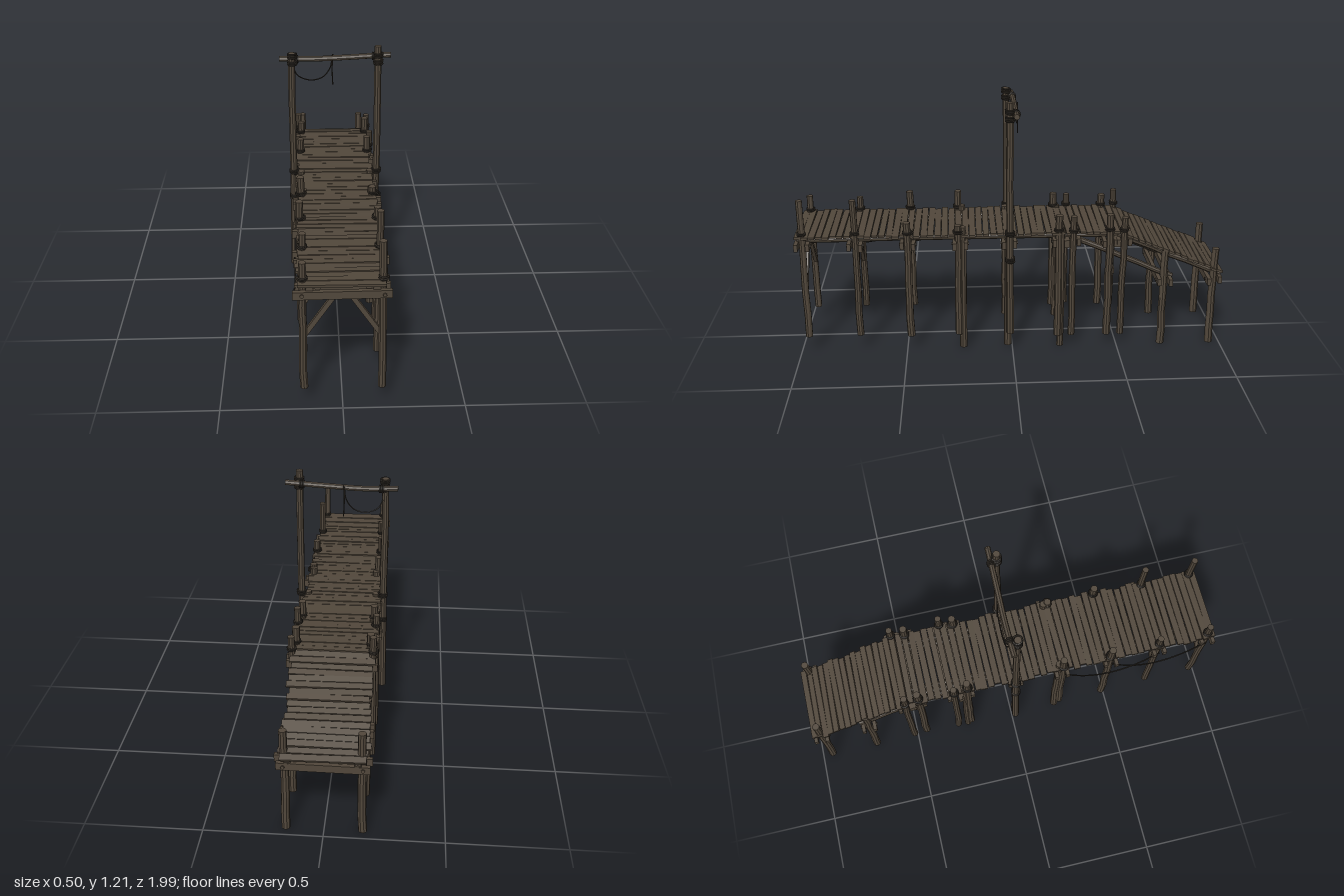
import * as THREE from 'three';

const mat = (name, color, flatShading = true) => {
  const m = new THREE.MeshStandardMaterial({ color, flatShading });
  m.name = name;
  return m;
};

export function createModel() {
  const root = new THREE.Group();
  root.name = 'pier';
  const wood = mat('weathered wood', 0x51473b);
  const rope = mat('dark rope', 0x302b25, false);

  // Seeded variation for hand-cut timber
  let seed = 7;
  const rnd = (s = 1) => {
    seed = (seed * 16807) % 2147483647;
    return (seed / 2147483647 * 2 - 1) * s;
  };
  const V = (x, y, z) => new THREE.Vector3(x, y, z);
  const group = (name) => {
    const g = new THREE.Group();
    g.name = name;
    root.add(g);
    return g;
  };
  const add = (parent, name, geo, m = wood) => {
    const mesh = new THREE.Mesh(geo, m);
    mesh.name = name;
    parent.add(mesh);
    return mesh;
  };

  // Round log between two points, with gently wandering rings
  const log = (parent, name, a, b, r, wobble = 0.0025) => {
    const len = a.distanceTo(b), segs = 6;
    const geo = new THREE.CylinderGeometry(r * 0.94, r * 1.04, len, 9, segs);
    const drift = Array.from({ length: segs + 1 }, () => [rnd(wobble), rnd(wobble)]);
    const p = geo.attributes.position;
    for (let i = 0; i < p.count; i++) {
      const ring = Math.round((p.getY(i) / len + 0.5) * segs);
      p.setX(i, p.getX(i) + drift[ring][0]);
      p.setZ(i, p.getZ(i) + drift[ring][1]);
    }
    geo.computeVertexNormals();
    const mesh = add(parent, name, geo);
    mesh.position.copy(a).lerp(b, 0.5);
    mesh.quaternion.setFromUnitVectors(V(0, 1, 0), b.clone().sub(a).normalize());
    return mesh;
  };

  // Squared beam between two points
  const beam = (parent, name, a, b, w, d) => {
    const mesh = add(parent, name, new THREE.BoxGeometry(w, a.distanceTo(b), d));
    mesh.position.copy(a).lerp(b, 0.5);
    mesh.quaternion.setFromUnitVectors(V(0, 1, 0), b.clone().sub(a).normalize());
    return mesh;
  };

  // Rope coils around an upright post
  const lashing = (parent, x, y, z, r, turns = 3) => {
    for (let i = 0; i < turns; i++) {
      const t = add(parent, 'lashing', new THREE.TorusGeometry(r, 0.004, 5, 14), rope);
      t.position.set(x, y + i * 0.008, z);
      t.rotation.set(Math.PI / 2 + rnd(0.12), rnd(0.12), 0);
    }
  };
  const cord = (parent, name, pts, r = 0.003) =>
    add(parent, name, new THREE.TubeGeometry(new THREE.CatmullRomCurve3(pts), 28, r, 5), rope);

  // Planks laid along a line in the yz plane
  const planking = (parent, z0, y0, z1, y1, pitch) => {
    const run = Math.hypot(z1 - z0, y1 - y0);
    const n = Math.round(run / pitch);
    const tilt = Math.atan2(y1 - y0, z0 - z1);
    for (let i = 0; i < n; i++) {
      const t = (i + 0.5) / n;
      const geo = new THREE.BoxGeometry(0.355 + rnd(0.012), 0.011, run / n - 0.003 + rnd(0.002));
      const p = add(parent, 'plank', geo);
      p.position.set(-0.003 + rnd(0.006), y0 + (y1 - y0) * t + rnd(0.002), z0 + (z1 - z0) * t);
      p.rotation.set(tilt + rnd(0.03), rnd(0.012), rnd(0.008));
    }
  };

  // Deck and ramp boards
  planking(group('deck'), 0.995, 0.583, -0.5, 0.583, 0.032);
  planking(group('ramp'), -0.5, 0.58, -0.99, 0.372, 0.032);

  // Lengthwise stringers under the deck and the ramps
  const stringers = group('stringers');
  for (const s of [-1, 1]) {
    log(stringers, 'deckStringer', V(s * 0.13, 0.563, 0.985), V(s * 0.13, 0.563, -0.5), 0.015);
    log(stringers, 'innerStringer', V(s * 0.1, 0.563, 0.97), V(s * 0.1, 0.563, -0.48), 0.013);
    log(stringers, 'rampStringer', V(s * 0.14, 0.565, -0.49), V(s * 0.14, 0.352, -0.985), 0.015);
    log(stringers, 'lowerRampStringer', V(s * 0.14, 0.56, -0.27), V(s * 0.14, 0.345, -0.755), 0.014);
  }

  // Pile rows: z, x offset, left top, right top, bottom, radius
  const rows = [
    [0.96, 0.158, 0.76, 0.67, 0.08, 0.016],
    [0.72, 0.158, 0.76, 0.66, 0.08, 0.016],
    [0.48, 0.165, 0.65, 0.68, 0.075, 0.018],
    [0.25, 0.165, 0.63, 0.68, 0.08, 0.018],
    [0.23, 0.157, 0.62, 0.61, 0.005, 0.018],
    [0.02, 0.16, 0.6, 0.6, 0.015, 0.018],
    [-0.215, 0.165, 0.67, 0.66, 0.06, 0.018],
    [-0.23, 0.157, 0.6, 0.6, 0, 0.016],
    [-0.28, 0.175, 0.67, 0.65, 0.065, 0.016],
    [-0.45, 0.165, 0.67, 0.65, 0.06, 0.018],
    [-0.515, 0.175, 0.66, 0.67, 0.065, 0.016],
    [-0.715, 0.158, 0.49, 0.49, 0, 0.018],
    [-0.95, 0.158, 0.49, 0.49, 0, 0.018],
  ];
  const piles = group('piles');
  for (const [z, x, topL, topR, bottom, r] of rows) {
    for (const s of [-1, 1]) {
      const top = s > 0 ? topL : topR;
      log(piles, 'pile', V(s * x, bottom, z), V(s * (x + rnd(0.004)), top, z), r);
      if (top > 0.62) lashing(piles, s * x, 0.597, z, r + 0.002, 2);
    }
  }

  // Paired cross beams clamping each pile row, with bolts
  const cross = group('crossBeams');
  const bolt = new THREE.CylinderGeometry(0.008, 0.008, 0.008, 8).rotateX(Math.PI / 2);
  const crossBeam = (y, z, side) => {
    const tip = rnd(0.004);
    beam(cross, 'crossBeam', V(-0.195 + rnd(0.008), y - tip, z), V(0.195 + rnd(0.008), y + tip, z), 0.034, 0.018);
    for (const s of [-1, 1]) add(cross, 'bolt', bolt).position.set(s * 0.16, y, z + side * 0.01);
  };
  for (const z of [0.96, 0.72, 0.48, 0.24, 0.015, -0.22, -0.28, -0.45, -0.515]) {
    for (const side of [-1, 1]) crossBeam(0.54, z + side * 0.026, side);
  }
  for (const z of [-0.715, -0.95]) {
    for (const side of [-1, 1]) crossBeam(0.335, z + side * 0.027, side);
  }

  // Diagonal knee braces
  const braces = group('braces');
  for (const z of [0.955, 0.72, -0.22]) {
    for (const s of [-1, 1]) {
      beam(braces, 'kneeBrace', V(s * 0.155, 0.33, z), V(s * 0.025, 0.53, z), 0.02, 0.016);
    }
  }
  beam(braces, 'slantedTie', V(-0.16, 0.435, -0.47), V(0.16, 0.385, -0.47), 0.03, 0.014);

  // Gate: two tall posts and a crooked top pole
  const gate = group('gate');
  log(gate, 'gatePost', V(-0.197, 0.095, 0.012), V(-0.195, 1.18, 0.012), 0.017);
  log(gate, 'gatePost', V(0.192, 0.09, 0.012), V(0.19, 1.21, 0.012), 0.017);
  const pole = new THREE.CatmullRomCurve3([
    V(-0.248, 1.145, -0.014), V(-0.1, 1.142, -0.018), V(0.04, 1.148, -0.016), V(0.248, 1.16, -0.014)]);
  add(gate, 'topPole', new THREE.TubeGeometry(pole, 10, 0.013, 8), wood);
  for (const t of [0, 1]) {
    const cap = add(gate, 'poleEnd', new THREE.CylinderGeometry(0.013, 0.013, 0.008, 8));
    cap.position.copy(pole.getPoint(t));
    cap.rotation.z = Math.PI / 2;
  }
  for (const s of [-1, 1]) {
    for (const y of [0.46, 0.59, 1.128, 1.16]) lashing(gate, s * 0.193, y, 0.012, 0.02);
    for (let i = 0; i < 3; i++) {
      const coil = add(gate, 'poleLashing', new THREE.TorusGeometry(0.016, 0.004, 5, 12), rope);
      coil.position.set(s * 0.17 + i * s * 0.008, 1.148 + s * 0.006, -0.015);
      coil.rotation.y = Math.PI / 2;
    }
  }

  // Hanging rope on the gate
  const ropes = group('ropes');
  cord(ropes, 'gateRope', [V(-0.185, 1.09, -0.015), V(-0.165, 1.055, -0.03), V(-0.11, 1.035, -0.034),
    V(-0.055, 1.05, -0.034), V(-0.022, 1.095, -0.034), V(-0.013, 1.155, -0.03)], 0.0028);
  cord(ropes, 'ropeTail', [V(-0.01, 1.16, -0.032), V(-0.013, 1.09, -0.033), V(-0.01, 1.012, -0.033)], 0.0028);

  // Slack mooring ropes along the right side
  for (const [z0, z1] of [[0.95, 0.48], [0.72, 0.25]]) {
    const pts = [];
    for (let i = 0; i <= 8; i++) {
      const t = i / 8;
      pts.push(V(-0.188, 0.41 + 0.14 * (2 * t - 1) ** 2, z0 + (z1 - z0) * t));
    }
    cord(ropes, 'mooringRope', pts, 0.0035);
  }
  return root;
}
